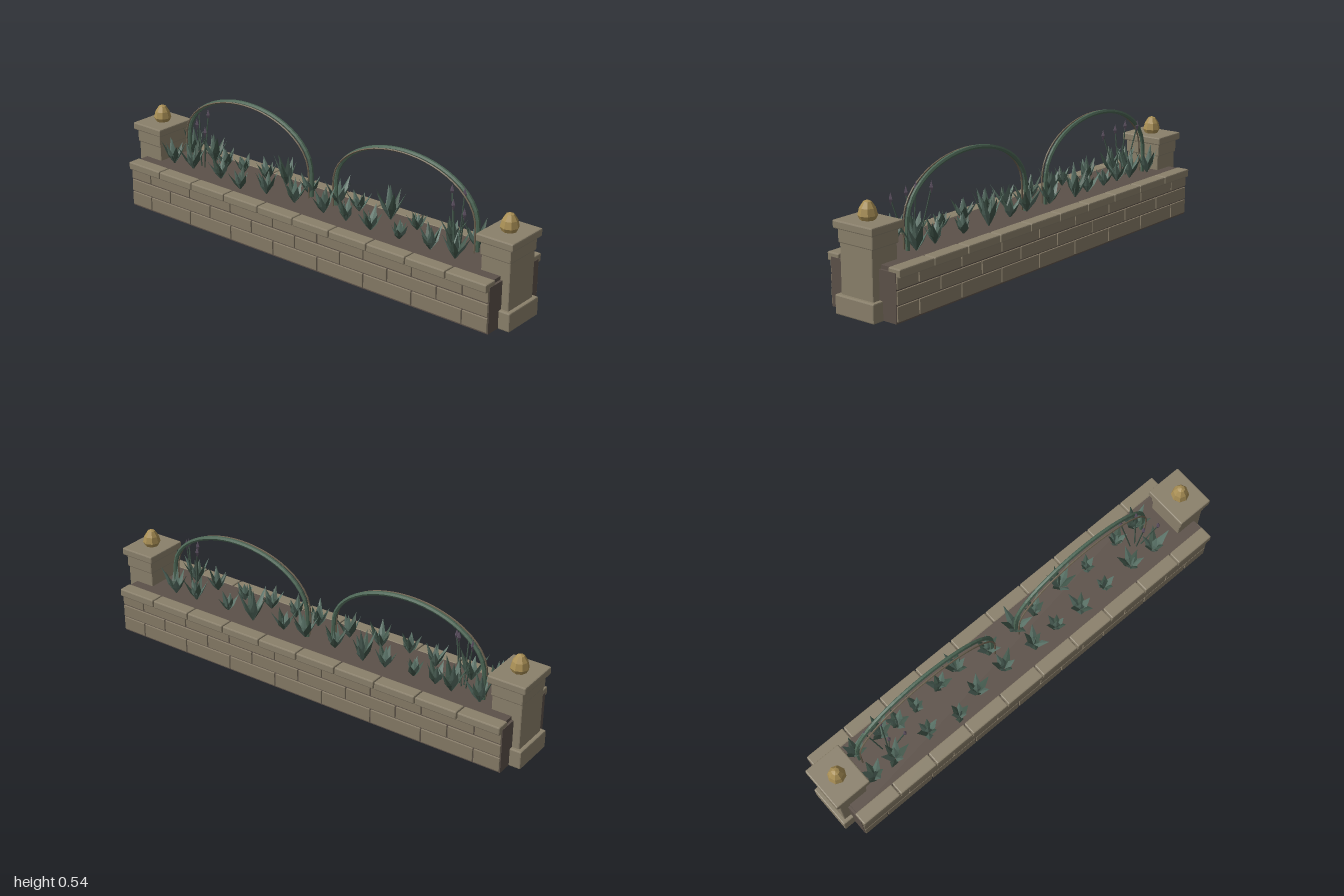
import * as THREE from 'three';
import { RoundedBoxGeometry } from 'three/addons/geometries/RoundedBoxGeometry.js';
import { mergeGeometries } from 'three/addons/utils/BufferGeometryUtils.js';

const mat = (name, color) => {
  const m = new THREE.MeshStandardMaterial({ color });
  m.name = name;
  return m;
};
const stone = mat('stone', 0x8a806b);
const brick = mat('brick', 0x857a66);
const soil = mat('soil and mortar', 0x5c5149);
const gold = mat('gold', 0xa98f55);
const metal = mat('green arch', 0x4c6655);
const vine = mat('vine', 0x6e6351);
const leafLight = mat('light leaf', 0x587065);
const leafDark = mat('dark leaf', 0x42574b);
const purple = mat('bud', 0x5f5364);

// Faceted normals for a low-poly look
function flat(geo) {
  const g = geo.index ? geo.toNonIndexed() : geo;
  g.computeVertexNormals();
  return g;
}

function add(parent, name, geo, material) {
  const m = new THREE.Mesh(geo, material);
  m.name = name;
  parent.add(m);
  return m;
}

// Bevelled block given by its centre x, z, bottom, top and sizes
function block(x, z, y0, y1, w, d, bevel = 0.005) {
  const g = flat(new RoundedBoxGeometry(w, y1 - y0, d, 1, bevel));
  return g.translate(x, (y0 + y1) / 2, z);
}

let seed = 7;
const rand = () => (seed = (seed * 16807) % 2147483647) / 2147483647;

function buildWall(root) {
  const wall = new THREE.Group();
  wall.name = 'planterWall';
  root.add(wall);
  add(wall, 'core', new THREE.BoxGeometry(1.9, 0.194, 0.328).translate(0, 0.1, 0), soil);
  add(wall, 'soilBed', new THREE.BoxGeometry(1.88, 0.02, 0.26).translate(0, 0.202, 0), soil);
  const rows = [[0.01, 0.07], [0.075, 0.128], [0.134, 0.19]];
  const len = 1.9 / 8;
  for (const side of [1, -1]) {
    const bricks = [];
    rows.forEach(([y0, y1], r) => {
      // alternate courses are shifted by half a brick
      for (let i = 0; i <= 8; i++) {
        const a = Math.max(-0.95, -0.95 + (i - (r % 2 ? 0 : 0.5)) * len);
        const b = Math.min(0.95, -0.95 + (i + (r % 2 ? 1 : 0.5)) * len);
        if (b - a < 0.02) continue;
        bricks.push(block((a + b) / 2, side * 0.16, y0, y1, b - a - 0.005, 0.02, 0.002));
      }
    });
    add(wall, side > 0 ? 'frontBricks' : 'backBricks', mergeGeometries(bricks), brick);
    const caps = [];
    for (let i = 0; i < 10; i++) {
      caps.push(block(-0.855 + i * 0.19, side * 0.155, 0.179, 0.214, 0.186, 0.06));
    }
    add(wall, side > 0 ? 'frontCoping' : 'backCoping', mergeGeometries(caps), stone);
  }
}

function buildPillar(root, side) {
  const p = new THREE.Group();
  p.name = side > 0 ? 'leftPillar' : 'rightPillar';
  p.position.x = side * 0.917;
  root.add(p);
  add(p, 'base', block(0, 0, 0, 0.078, 0.166, 0.196), stone);
  add(p, 'shaft', block(0, 0, 0.07, 0.28, 0.132, 0.164), stone);
  add(p, 'neck', block(0, 0, 0.274, 0.335, 0.138, 0.176), stone);
  add(p, 'cap', block(0, 0, 0.33, 0.363, 0.166, 0.2), stone);
  const profile = [[0, 0.36], [0.028, 0.36], [0.038, 0.38], [0.031, 0.408], [0.016, 0.431], [0, 0.438]]
    .map(([x, y]) => new THREE.Vector2(x, y));
  add(p, 'finial', flat(new THREE.LatheGeometry(profile, 8)), gold);
}

// Hoop with straight legs and an elliptical crown
function hoop(cx, z, rx, top, radius, sides) {
  const pts = [new THREE.Vector3(cx - rx, 0.2, z)];
  for (let i = 0; i <= 14; i++) {
    const a = Math.PI * (1 - i / 14);
    pts.push(new THREE.Vector3(cx + rx * Math.cos(a), 0.32 + (top - 0.32) * Math.sin(a), z));
  }
  pts.push(new THREE.Vector3(cx + rx, 0.2, z));
  return flat(new THREE.TubeGeometry(new THREE.CatmullRomCurve3(pts), 32, radius, sides));
}

// Rosette of pointed blades leaning outwards
function rosette(x, z, h, count) {
  const blades = [[], []];
  const turn = rand() * 6.28;
  for (let i = 0; i < count; i++) {
    const len = h * (0.75 + rand() * 0.3);
    const g = new THREE.OctahedronGeometry(1);
    g.scale(0.017, len / 2, 0.005).translate(0, len / 2, 0);
    // widest point sits below the middle
    const pos = g.attributes.position;
    for (let k = 0; k < pos.count; k++) {
      if (Math.abs(pos.getY(k) - len / 2) < len * 0.1) pos.setY(k, len * 0.42);
    }
    g.rotateX(i === 0 ? 0.1 : 0.35 + rand() * 0.25);
    g.rotateY(turn + (i * Math.PI * 2) / (count - 1));
    g.translate(x, 0.208, z);
    blades[i % 2].push(flat(g));
  }
  return blades.map((b) => mergeGeometries(b));
}

function buildPlants(root) {
  const front = [[-0.79, 0.06, 0.12], [-0.68, 0.055, 0.13], [-0.51, 0.06, 0.11], [-0.37, 0.09, 0.1],
    [-0.25, 0.06, 0.12], [-0.1, 0.055, 0.12], [0.06, 0.055, 0.12], [0.18, 0.06, 0.11],
    [0.31, 0.065, 0.12], [0.45, 0.06, 0.09], [0.6, 0.06, 0.11], [0.72, 0.065, 0.13]];
  const back = [[-0.79, -0.065, 0.13], [-0.66, -0.06, 0.15], [-0.58, -0.05, 0.1], [-0.48, -0.05, 0.1],
    [-0.35, -0.06, 0.11], [-0.25, -0.07, 0.15], [-0.1, -0.05, 0.11], [0.05, -0.05, 0.13],
    [0.16, -0.05, 0.1], [0.31, -0.065, 0.16], [0.45, -0.055, 0.09], [0.62, -0.06, 0.11], [0.73, -0.065, 0.14]];
  const plants = new THREE.Group();
  plants.name = 'plants';
  root.add(plants);
  for (const [x, z, h] of [...front, ...back]) {
    const [a, b] = rosette(x, z, h, 7);
    add(plants, 'lightLeaves', a, leafLight);
    add(plants, 'darkLeaves', b, leafDark);
  }
}

// Thin leaning stems, each with a pointed bud
function buildBuds(root, cx) {
  const group = new THREE.Group();
  group.name = 'budStems';
  root.add(group);
  for (const [dx, y, z] of [[-0.06, 0.43, -0.045], [0, 0.41, 0.03], [0.065, 0.395, 0.048], [0.01, 0.44, -0.03]]) {
    const curve = new THREE.LineCurve3(new THREE.Vector3(cx + dx * 0.3, 0.2, z * 0.2), new THREE.Vector3(cx + dx, y, z));
    add(group, 'stem', flat(new THREE.TubeGeometry(curve, 1, 0.003, 5)), leafDark);
    add(group, 'bud', flat(new THREE.OctahedronGeometry(1).scale(0.009, 0.027, 0.009)), purple)
      .position.set(cx + dx, y, z);
  }
}

export function createModel() {
  const root = new THREE.Group();
  root.name = 'gardenPlanter';
  buildWall(root);
  for (const side of [1, -1]) buildPillar(root, side);
  for (const cx of [-0.438, 0.398]) {
    add(root, 'arch', hoop(cx, -0.04, 0.352, 0.537, 0.009, 6), metal);
    add(root, 'archVine', hoop(cx, -0.02, 0.352, 0.537, 0.0038, 5), vine);
  }
  buildPlants(root);
  for (const cx of [-0.675, 0.68]) buildBuds(root, cx);
  return root;
}
